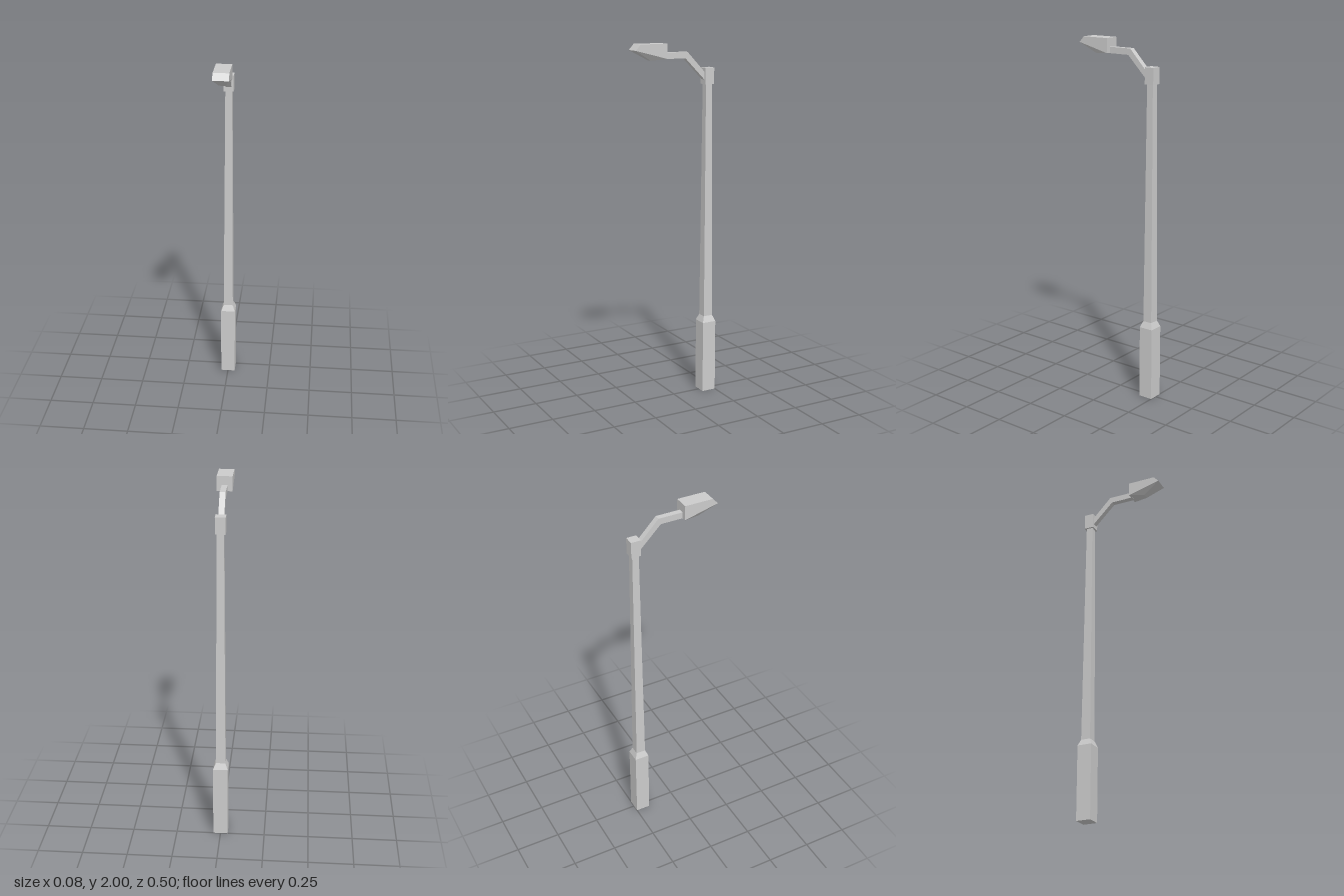
import * as THREE from 'three';
import { ConvexGeometry } from 'three/addons/geometries/ConvexGeometry.js';

const material = new THREE.MeshStandardMaterial({ color: 0xcccccc, flatShading: true });
const POLE_Z = -0.209;

function addPart(group, name, geometry) {
  const geo = geometry.index ? geometry.toNonIndexed() : geometry;
  geo.computeVertexNormals();
  const mesh = new THREE.Mesh(geo, material);
  mesh.name = name;
  group.add(mesh);
  return mesh;
}

// Square column from [halfWidth, y] pairs, listed bottom to top
function squareColumn(profile) {
  const points = profile.map(([half, y]) => new THREE.Vector2(half * Math.SQRT2, y));
  return new THREE.LatheGeometry(points, 4, Math.PI / 4);
}

export function createModel() {
  const group = new THREE.Group();
  group.name = 'streetLamp';

  // Square base with a shoulder, running into the tapered pole
  const pole = addPart(group, 'pole', squareColumn([
    [0, 0], [0.041, 0], [0.041, 0.415], [0.027, 0.45], [0.0185, 1.78],
  ]));
  pole.position.z = POLE_Z;

  // Block capping the pole
  const cap = addPart(group, 'poleCap', new THREE.BoxGeometry(0.055, 0.09, 0.055));
  cap.position.set(0, 1.819, POLE_Z);

  // Bent arm: side outline in (z, y), extruded across x
  const outline = [
    [-0.19, 1.833], [-0.19, 1.791], [-0.063, 1.918],
    [0.07, 1.918], [0.07, 1.952], [-0.076, 1.952],
  ].map(([z, y]) => new THREE.Vector2(z, y));
  const armWidth = 0.031;
  const arm = new THREE.ExtrudeGeometry(new THREE.Shape(outline), { depth: armWidth, bevelEnabled: false });
  arm.translate(0, 0, -armWidth / 2).rotateY(-Math.PI / 2);
  addPart(group, 'arm', arm);

  // Lamp head: flat top, sloped nose and a faceted underside with a short ridge
  const corners = [];
  for (const side of [-1, 1]) {
    for (const [half, y, z] of [
      [0.042, 2, 0.06], [0.042, 2, 0.219],
      [0.042, 1.968, 0.248], [0.042, 1.92, 0.06],
      [0.018, 1.912, 0.148],
    ]) corners.push(new THREE.Vector3(side * half, y, z));
  }
  addPart(group, 'lampHead', new ConvexGeometry(corners));

  return group;
}
